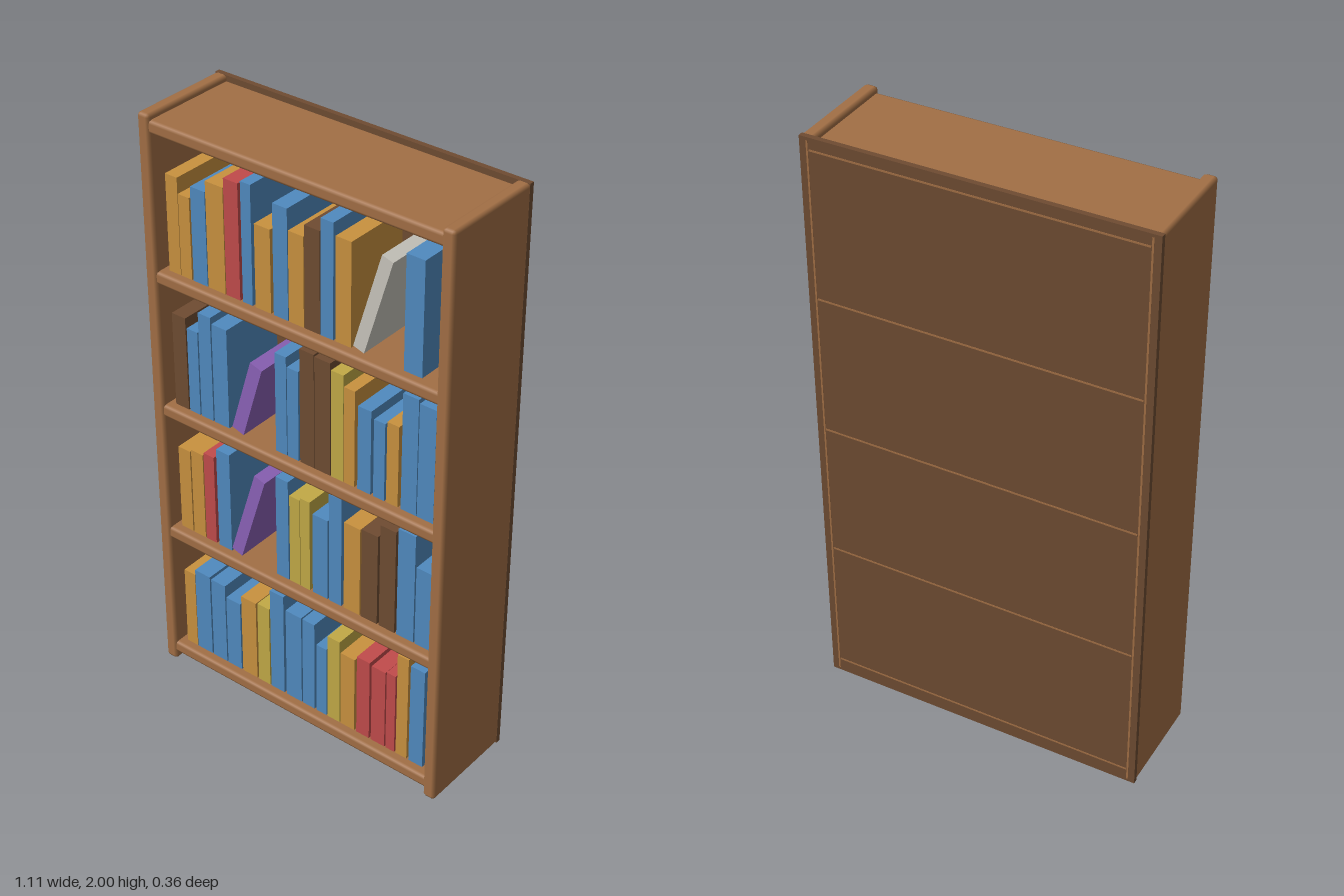
import * as THREE from 'three';
import { RoundedBoxGeometry } from 'three/addons/geometries/RoundedBoxGeometry.js';

const mat = (name, color) => {
  const m = new THREE.MeshStandardMaterial({ color });
  m.name = name;
  return m;
};

export function createModel() {
  const wood = mat('wood', 0xa26f45);
  const dark = mat('darkWood', 0x6f4c32);
  const blue = mat('blueCover', 0x508abf);
  const orange = mat('orangeCover', 0xc9923f);
  const red = mat('redCover', 0xc14b4b);
  const yellow = mat('yellowCover', 0xc2aa46);
  const purple = mat('purpleCover', 0x8c62b8);
  const white = mat('whiteCover', 0xc9c6bd);

  const root = new THREE.Group();
  root.name = 'bookcase';
  const add = (name, geometry, material, x, y, z, parent = root) => {
    const mesh = new THREE.Mesh(geometry, material);
    mesh.name = name;
    mesh.position.set(x, y, z);
    parent.add(mesh);
    return mesh;
  };

  // Case: two bevelled sides and a back panel
  const bevel = 0.011, board = 0.043;
  for (const s of [-1, 1]) {
    add(s > 0 ? 'leftSide' : 'rightSide', new RoundedBoxGeometry(board, 2, 0.347, 1, bevel),
      wood, s * (0.555 - board / 2), 1, 0.0035);
    add('sideSeam', new THREE.BoxGeometry(0.006, 1.98, 0.002), wood, s * 0.53, 1, -0.177);
  }
  add('backPanel', new THREE.BoxGeometry(1.11, 2, 0.017), dark, 0, 1, -0.1685);

  // Shelves, from the bottom board to the top board
  const shelfTops = [0.072, 0.549, 1.018, 1.49, 1.982];
  for (const top of shelfTops) {
    const y = top - board / 2;
    add('shelf', new RoundedBoxGeometry(1.06, board, 0.34, 1, bevel), wood, 0, y, 0.002);
    add('shelfSeam', new THREE.BoxGeometry(1.05, 0.006, 0.002), wood, 0, y, -0.177);
  }

  // Upright books: [cover, left edge, width, height]
  const depth = 0.23, bookZ = 0.025;
  const addRow = (level, books) => {
    const row = new THREE.Group();
    row.name = 'bookRow' + (level + 1);
    root.add(row);
    for (const [cover, left, w, h] of books) {
      add('book', new THREE.BoxGeometry(w, h, depth), cover,
        left + w / 2, shelfTops[level] + h / 2, bookZ, row);
    }
  };
  addRow(3, [
    [orange, -0.491, 0.045, 0.321], [orange, -0.444, 0.042, 0.27], [blue, -0.396, 0.055, 0.31],
    [orange, -0.338, 0.066, 0.347], [red, -0.269, 0.053, 0.379], [blue, -0.206, 0.037, 0.39],
    [orange, -0.158, 0.058, 0.273], [blue, -0.09, 0.053, 0.361], [orange, -0.034, 0.055, 0.294],
    [dark, 0.024, 0.055, 0.332], [blue, 0.082, 0.045, 0.374], [orange, 0.135, 0.055, 0.337],
    [blue, 0.375, 0.063, 0.369],
  ]);
  addRow(2, [
    [dark, -0.491, 0.053, 0.326], [blue, -0.433, 0.042, 0.294], [blue, -0.386, 0.048, 0.366],
    [blue, -0.333, 0.058, 0.347], [blue, -0.09, 0.042, 0.345], [blue, -0.045, 0.042, 0.313],
    [dark, 0.003, 0.053, 0.395], [dark, 0.058, 0.058, 0.39], [yellow, 0.119, 0.045, 0.369],
    [orange, 0.166, 0.04, 0.332], [blue, 0.217, 0.048, 0.289], [blue, 0.275, 0.04, 0.268],
    [orange, 0.322, 0.042, 0.279], [blue, 0.375, 0.055, 0.398], [blue, 0.433, 0.058, 0.387],
  ]);
  addRow(1, [
    [orange, -0.491, 0.048, 0.308], [orange, -0.438, 0.048, 0.318], [red, -0.386, 0.042, 0.329],
    [blue, -0.333, 0.053, 0.366], [blue, -0.095, 0.048, 0.371], [yellow, -0.042, 0.04, 0.324],
    [yellow, 0, 0.037, 0.334], [blue, 0.048, 0.058, 0.297], [blue, 0.111, 0.048, 0.4],
    [orange, 0.169, 0.061, 0.324], [dark, 0.235, 0.061, 0.329], [dark, 0.304, 0.058, 0.377],
    [blue, 0.37, 0.063, 0.395], [blue, 0.438, 0.063, 0.286],
  ]);
  addRow(0, [
    [orange, -0.491, 0.045, 0.297], [blue, -0.444, 0.063, 0.318], [blue, -0.375, 0.058, 0.313],
    [blue, -0.312, 0.058, 0.271], [orange, -0.248, 0.061, 0.308], [yellow, -0.18, 0.048, 0.313],
    [blue, -0.127, 0.055, 0.393], [blue, -0.063, 0.063, 0.345], [blue, 0.005, 0.048, 0.345],
    [blue, 0.061, 0.04, 0.271], [yellow, 0.106, 0.048, 0.329], [orange, 0.158, 0.055, 0.289],
    [red, 0.222, 0.05, 0.308], [red, 0.28, 0.053, 0.302], [red, 0.338, 0.034, 0.308],
    [orange, 0.378, 0.042, 0.4], [blue, 0.428, 0.053, 0.382],
  ]);

  // Books leaning to the left side: cover, shelf, lower left corner, width, length, angle
  const addLeaning = (cover, level, left, w, length, degrees) => {
    const a = THREE.MathUtils.degToRad(degrees);
    const x = left + (w * Math.cos(a) + length * Math.sin(a)) / 2;
    const y = shelfTops[level] + (w * Math.sin(a) + length * Math.cos(a)) / 2;
    add('leaningBook', new THREE.BoxGeometry(w, length, depth), cover, x, y, bookZ).rotation.z = -a;
  };
  addLeaning(white, 3, 0.198, 0.04, 0.337, 16.5);
  addLeaning(purple, 2, -0.262, 0.046, 0.27, 16.5);
  addLeaning(purple, 1, -0.278, 0.042, 0.338, 17);

  return root;
}
